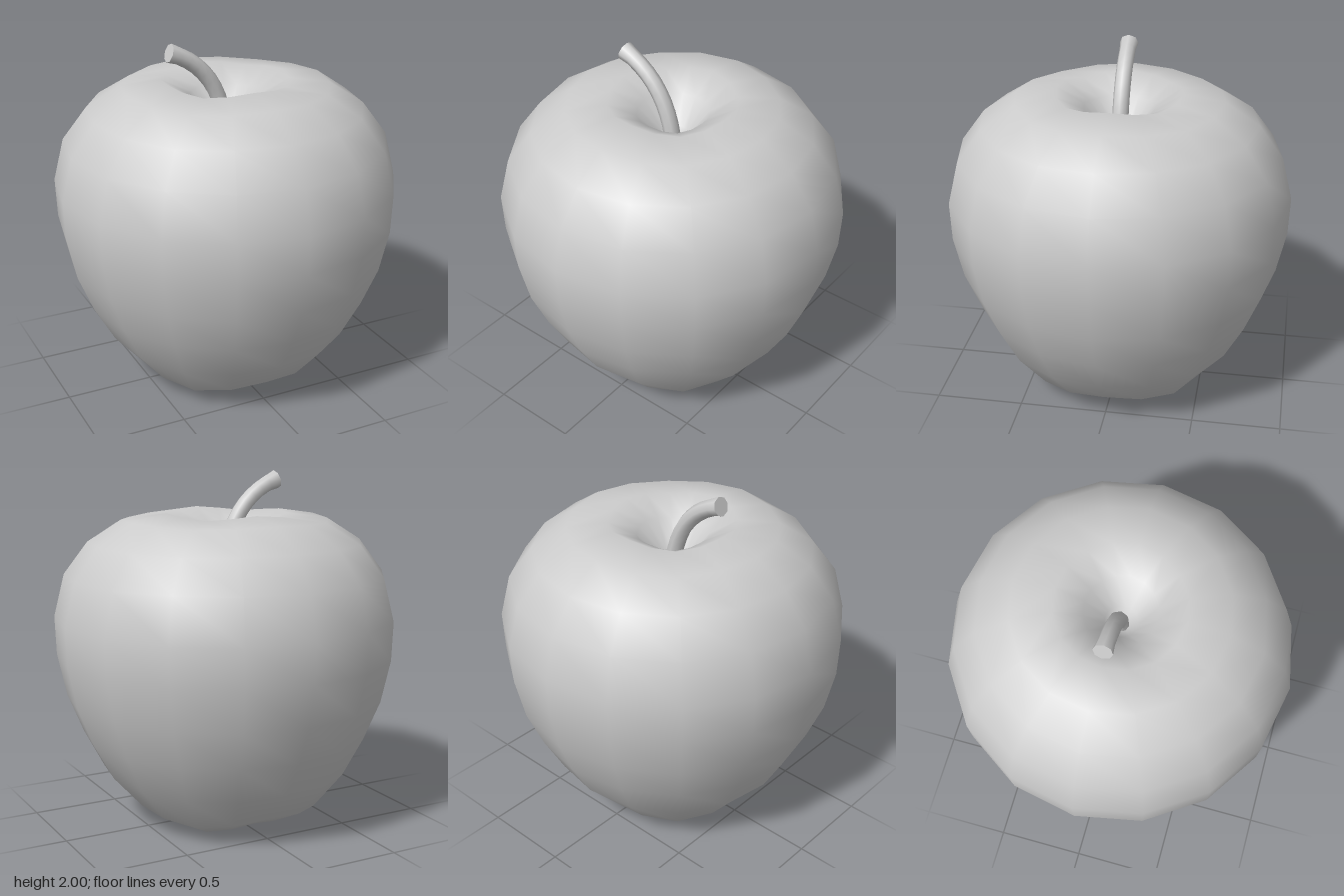
import * as THREE from 'three';
import { mergeVertices } from 'three/addons/utils/BufferGeometryUtils.js';

const material = new THREE.MeshStandardMaterial({ color: 0xcccccc, side: THREE.DoubleSide });

// Lathed body with sixteen sides; each ring is [radius, height, lobe height]
function createBody() {
  const rings = [
    [0, 0.26, 0], [0.09, 0.22, 0], [0.19, 0.09, 0.01],            // bottom dimple
    [0.355, 0.02, 0.02], [0.54, 0.11, 0.02], [0.705, 0.305, 0.008],
    [0.82, 0.52, 0], [0.91, 0.74, 0], [0.962, 0.98, 0], [0.97, 1.2, 0],
    [0.91, 1.44, 0], [0.775, 1.62, 0.003], [0.585, 1.742, 0.008],
    [0.355, 1.772, 0.0125],                                       // top rim
    [0.2, 1.69, 0.008], [0.09, 1.55, 0], [0, 1.5, 0],             // stem hollow
  ];
  const sides = 16;
  let geometry = new THREE.LatheGeometry(rings.map(([r, y]) => new THREE.Vector2(r, y)), sides);

  // Four gentle lobes around the top rim and the base
  const pos = geometry.attributes.position;
  for (let i = 0; i < pos.count; i++) {
    const angle = Math.floor(i / rings.length) / sides * Math.PI * 2;
    pos.setY(i, pos.getY(i) + rings[i % rings.length][2] * Math.cos(4 * angle));
  }
  geometry.deleteAttribute('uv');
  geometry.deleteAttribute('normal');
  geometry = mergeVertices(geometry, 1e-4);
  geometry.computeVertexNormals();

  const body = new THREE.Mesh(geometry, material);
  body.name = 'appleBody';
  return body;
}

// Capped cylinder bent along a curve in the xy plane, flared at the tip
function createStem() {
  const curve = new THREE.QuadraticBezierCurve3(
    new THREE.Vector3(0.005, 1.46, 0),
    new THREE.Vector3(-0.03, 1.85, 0),
    new THREE.Vector3(-0.335, 1.953, 0),
  );
  const geometry = new THREE.CylinderGeometry(0.053, 0.046, 1, 8, 10);
  const { position, normal } = geometry.attributes;
  const v = new THREE.Vector3();
  const zAxis = new THREE.Vector3(0, 0, 1);
  const frame = new THREE.Matrix4();
  for (let i = 0; i < position.count; i++) {
    v.fromBufferAttribute(position, i);
    const t = v.y + 0.5;
    const radius = Math.hypot(v.x, v.z);
    if (radius > 0.001) v.multiplyScalar((t > 0.95 ? 0.053 : 0.046) / radius);
    v.y = 0;
    const tangent = curve.getTangent(t);
    frame.makeBasis(tangent.clone().cross(zAxis), tangent, zAxis);
    v.applyMatrix4(frame).add(curve.getPoint(t));
    position.setXYZ(i, v.x, v.y, v.z);
    v.fromBufferAttribute(normal, i).transformDirection(frame);
    normal.setXYZ(i, v.x, v.y, v.z);
  }
  const stem = new THREE.Mesh(geometry, material);
  stem.name = 'stem';
  return stem;
}

export function createModel() {
  const model = new THREE.Group();
  model.name = 'apple';
  model.add(createBody(), createStem());
  return model;
}
